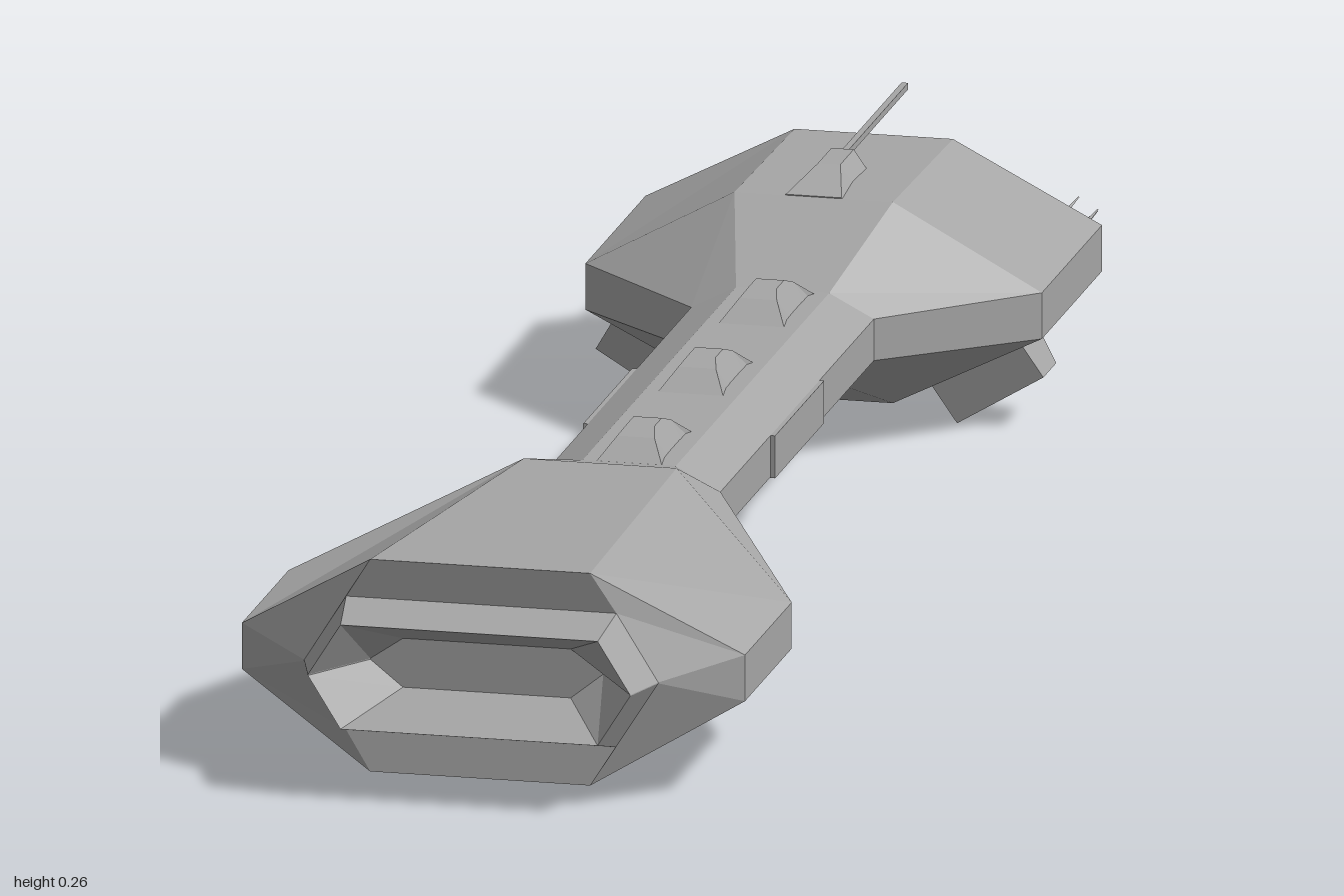
import * as THREE from 'three';

const hullGrey = new THREE.MeshStandardMaterial({ color: 0xa6a6a6, flatShading: true });
hullGrey.name = 'hull grey';

// Eight-sided ring, counter-clockwise seen from +z; flats and flanks may sit at different z
function ring(flatW, sideW, yTop, yUp, yLow, yBottom, zFlat, zSide = zFlat) {
  return [
    [sideW, yLow, zSide], [sideW, yUp, zSide], [flatW, yTop, zFlat], [-flatW, yTop, zFlat],
    [-sideW, yUp, zSide], [-sideW, yLow, zSide], [-flatW, yBottom, zFlat], [flatW, yBottom, zFlat],
  ];
}

// Skin between consecutive rings with both ends closed
function loft(name, rings) {
  const pos = [];
  const tri = (a, b, c) => pos.push(...a, ...b, ...c);
  const n = rings[0].length;
  for (let i = 0; i < rings.length - 1; i++) {
    for (let j = 0; j < n; j++) {
      const k = (j + 1) % n;
      const [a, b, c, d] = [rings[i][j], rings[i][k], rings[i + 1][k], rings[i + 1][j]];
      tri(a, b, c);
      tri(a, c, d);
    }
  }
  const first = rings[0], last = rings[rings.length - 1];
  for (let j = 1; j < n - 1; j++) {
    tri(first[0], first[j + 1], first[j]);
    tri(last[0], last[j], last[j + 1]);
  }
  const geo = new THREE.BufferGeometry();
  geo.setAttribute('position', new THREE.Float32BufferAttribute(pos, 3));
  geo.computeVertexNormals();
  const mesh = new THREE.Mesh(geo, hullGrey);
  mesh.name = name;
  return mesh;
}

function part(name, geo, x = 0, y = 0, z = 0) {
  const mesh = new THREE.Mesh(geo, hullGrey);
  mesh.name = name;
  mesh.position.set(x, y, z);
  return mesh;
}

// Four-cornered slice used by fins and turret
const slice = (w0, y0, w1, y1, z) => [[w0, y0, z], [w1, y1, z], [-w1, y1, z], [-w0, y0, z]];

export function createModel() {
  const ship = new THREE.Group();

  // Bulbous head at the back end
  ship.add(loft('head', [
    ring(0.035, 0.06, 0.16, 0.15, 0.115, 0.105, -1),
    ring(0.085, 0.245, 0.238, 0.155, 0.105, 0.025, -0.82),
    ring(0.085, 0.245, 0.243, 0.155, 0.105, 0.025, -0.55),
    ring(0.05, 0.098, 0.18, 0.155, 0.11, 0.085, -0.41),
  ]));

  // Long neck
  ship.add(loft('neck', [
    ring(0.05, 0.098, 0.18, 0.155, 0.11, 0.085, -0.41),
    ring(0.05, 0.098, 0.18, 0.155, 0.11, 0.085, 0.28),
  ]));

  // Flared engine block running into the hollow nozzle
  ship.add(loft('engineBlock', [
    ring(0.05, 0.098, 0.18, 0.155, 0.11, 0.085, 0.28),
    ring(0.082, 0.27, 0.215, 0.155, 0.105, 0.05, 0.41, 0.68),
    ring(0.118, 0.27, 0.25, 0.155, 0.105, 0.02, 0.95, 0.89),
    ring(0.145, 0.19, 0.207, 0.135, 0.134, 0.062, 0.945),
    ring(0.138, 0.173, 0.191, 0.135, 0.134, 0.078, 1),
    ring(0.09, 0.125, 0.158, 0.134, 0.133, 0.105, 0.92),
  ]));

  // Arched fins along the top and underside of the neck
  const arch = [[-1, 0], [-0.55, 0.75], [-0.25, 1], [0.25, 1], [0.55, 0.75], [1, 0]];
  for (const z of [0.213, -0.063, -0.337]) {
    const top = loft('upperFin', arch.map(([t, h]) =>
      slice(0.036, 0.17, 0.035 - 0.02 * h, 0.18 + 0.027 * h, z + t * 0.067)));
    const bottom = top.clone();
    bottom.name = 'lowerFin';
    bottom.rotation.z = Math.PI;
    bottom.position.y = 0.265;
    ship.add(top, bottom);
  }

  // Dorsal turret and its long barrel
  ship.add(loft('turret', [
    slice(0.033, 0.23, 0.012, 0.26, -0.68),
    slice(0.033, 0.23, 0.012, 0.26, -0.62),
    slice(0.033, 0.23, 0.03, 0.244, -0.55),
  ]));
  ship.add(part('turretBarrel', new THREE.BoxGeometry(0.007, 0.007, 0.3), 0, 0.252, -0.81));

  for (const s of [1, -1]) {
    // Flank panels on the neck
    ship.add(part('neckPanel', new THREE.BoxGeometry(0.012, 0.046, 0.22), s * 0.097, 0.132, -0.055));

    // Tapered pods under the head, square to the sloping underside
    const geo = new THREE.BoxGeometry(0.108, 0.07, 0.085);
    const p = geo.attributes.position;
    for (let i = 0; i < p.count; i++) {
      if (p.getY(i) < 0) p.setZ(i, p.getZ(i) * 0.68);
    }
    const pod = part('pod', geo, s * 0.176, 0.058, -0.605);
    pod.rotation.z = s * 0.54;
    ship.add(pod);

    // Spiky antennas at the rear shoulders
    for (const [x, y, z0, z1] of [
      [0.185, 0.142, -0.83, -0.965], [0.205, 0.128, -0.82, -0.965],
      [0.214, 0.14, -0.81, -0.93], [0.225, 0.128, -0.8, -0.9],
    ]) {
      const spike = part('antenna', new THREE.CylinderGeometry(0.001, 0.005, z0 - z1, 4),
        s * x, y, (z0 + z1) / 2);
      spike.rotation.x = -Math.PI / 2;
      ship.add(spike);
    }
  }
  return ship;
}
